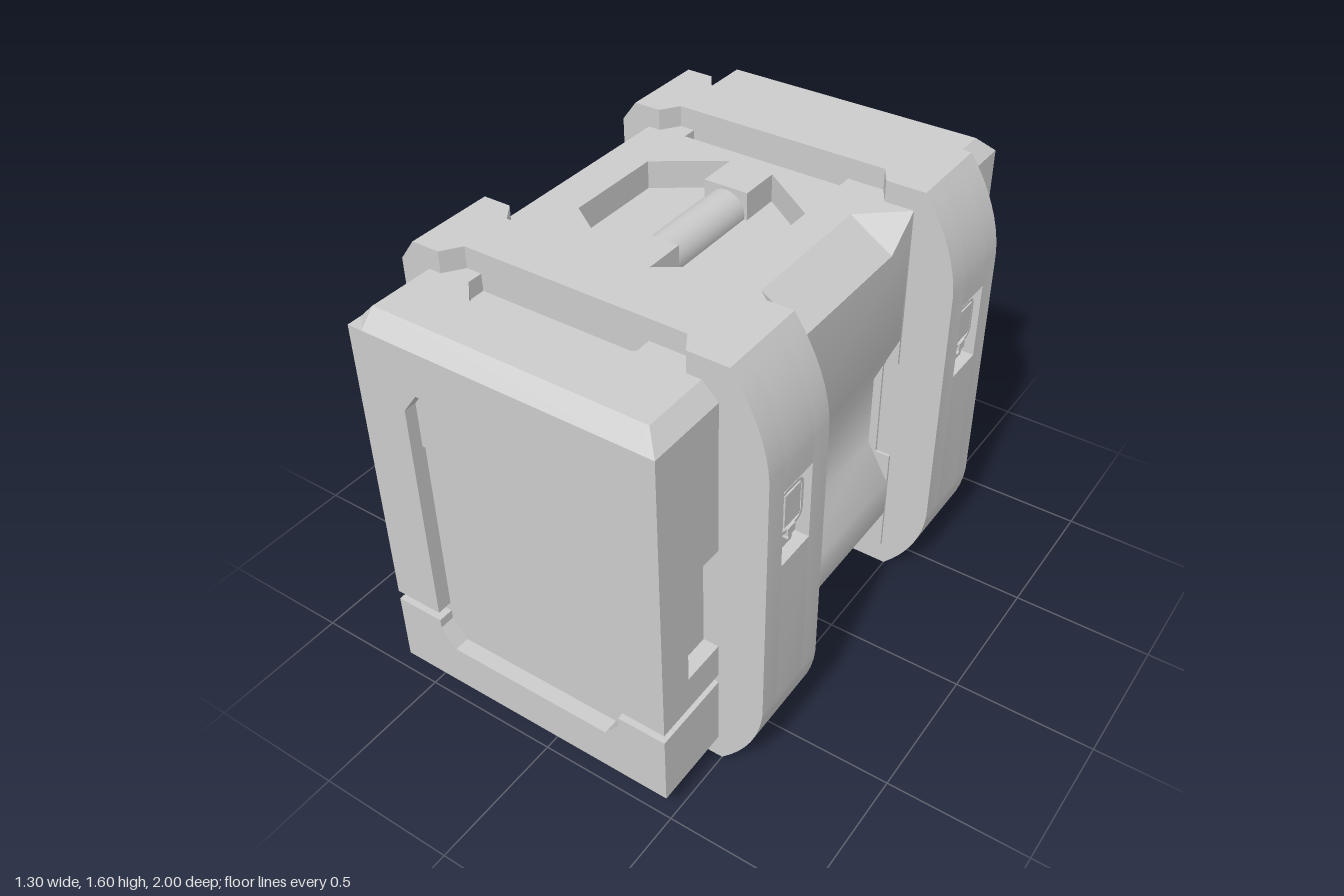
import * as THREE from 'three';
import { toCreasedNormals } from 'three/addons/utils/BufferGeometryUtils.js';
import { ConvexGeometry } from 'three/addons/geometries/ConvexGeometry.js';

const material = new THREE.MeshStandardMaterial({ color: 0xcccccc });
const V = (x, y, z) => new THREE.Vector3(x, y, z);
const toShape = pts => new THREE.Shape(pts.map(p => new THREE.Vector2(p[0], p[1])));

// Extrude an xy outline from z0 to z1
function alongZ(pts, z0, z1, hole) {
  const shape = toShape(pts);
  if (hole) shape.holes.push(toShape(hole));
  return new THREE.ExtrudeGeometry(shape, { depth: z1 - z0, bevelEnabled: false }).translate(0, 0, z0);
}

// Extrude an xz outline from y0 to y1
function alongY(pts, y0, y1, hole) {
  const flip = p => [p[0], -p[1]];
  return alongZ(pts.map(flip), y0, y1, hole && hole.map(flip)).rotateX(-Math.PI / 2);
}

function box(x0, x1, y0, y1, z0, z1) {
  return new THREE.BoxGeometry(x1 - x0, y1 - y0, z1 - z0)
    .translate((x0 + x1) / 2, (y0 + y1) / 2, (z0 + z1) / 2);
}

// Mirror in z and restore the winding
function mirrorZ(geometry) {
  const g = geometry.index ? geometry.toNonIndexed() : geometry.clone();
  g.scale(1, 1, -1);
  const p = g.attributes.position, a = V(), b = V();
  for (let i = 0; i < p.count; i += 3) {
    a.fromBufferAttribute(p, i + 1);
    b.fromBufferAttribute(p, i + 2);
    p.setXYZ(i + 1, b.x, b.y, b.z);
    p.setXYZ(i + 2, a.x, a.y, a.z);
  }
  return g;
}

function add(parent, name, geometry, crease = 0.4) {
  geometry.deleteAttribute('uv');
  const mesh = new THREE.Mesh(toCreasedNormals(geometry, crease), material);
  mesh.name = name;
  parent.add(mesh);
}

function roundedRect(w, h, r) {
  const pts = [];
  [[1, 1], [-1, 1], [-1, -1], [1, -1]].forEach(([sx, sy], q) => {
    for (let i = 0; i <= 3; i++) {
      const a = (q + i / 3) * Math.PI / 2;
      pts.push([sx * (w / 2 - r) + r * Math.cos(a), sy * (h / 2 - r) + r * Math.sin(a)]);
    }
  });
  return pts;
}

// Band outline as an open-topped ring, optionally notched for the latch
function bandOutline(notched) {
  const curve = (a, c, b) => new THREE.QuadraticBezierCurve(
    new THREE.Vector2(...a), new THREE.Vector2(...c), new THREE.Vector2(...b)
  ).getPoints(8).map(p => [p.x, p.y]);
  return [
    [-0.655, 0.07], [-0.6, 0],
    ...curve([0.5, 0], [0.64, 0.14], [0.65, 0.31]),
    ...(notched ? [[0.65, 0.885], [0.6, 0.885], [0.6, 1.17], [0.65, 1.17]] : []),
    ...curve([0.65, 1.26], [0.64, 1.43], [0.52, 1.595]),
    [0.38, 1.595], [0.38, 1.5], [0.4, 1.5], [0.4, 0.05],
    [-0.56, 0.05], [-0.56, 1.5], [-0.5, 1.5], [-0.5, 1.595], [-0.6, 1.595], [-0.655, 1.52],
  ];
}

// End block outline with seam grooves, optional side pocket and top pocket
function blockOutline(pockets) {
  return [
    [-0.55, 0.02], [0.435, 0.02], [0.485, 0.09], [0.485, 0.355], [0.445, 0.365], [0.445, 0.38], [0.485, 0.39],
    ...(pockets ? [[0.485, 0.52], [0.43, 0.52], [0.43, 0.925], [0.485, 0.925]] : []),
    [0.485, 1.465], [0.43, 1.52],
    ...(pockets ? [[0.21, 1.52], [0.21, 1.46], [-0.4, 1.46], [-0.4, 1.52]] : []),
    [-0.545, 1.52], [-0.6, 1.465], [-0.6, 0.39], [-0.56, 0.38], [-0.56, 0.365], [-0.6, 0.355], [-0.6, 0.09],
  ];
}

// Face frame whose top and bottom edges slope back
function frame(pts) {
  const g = alongZ(pts, 0.945, 1);
  const p = g.attributes.position;
  for (let i = 0; i < p.count; i++) {
    if (p.getZ(i) > 0.99) p.setY(i, THREE.MathUtils.clamp(p.getY(i), 0.09, 1.465));
  }
  return g;
}

function endParts() {
  const parts = [];
  const part = (name, g) => parts.push([name, g]);

  // End block with recessed face
  part('endBlock', alongZ(blockOutline(true), 0.38, 0.87));
  part('endBlockOuter', alongZ(blockOutline(false), 0.87, 0.945));
  part('topPocketRim', alongY([[-0.4, 0.87], [-0.4, 0.7], [-0.335, 0.77], [0.145, 0.77], [0.21, 0.7], [0.21, 0.87]], 1.44, 1.52));
  part('upperFrame', frame([
    [-0.6, 0.39], [-0.42, 0.39], [-0.42, 1.23], [-0.365, 1.305], [0.25, 1.305], [0.31, 1.23],
    [0.31, 0.39], [0.485, 0.39], [0.485, 1.465], [0.43, 1.52], [-0.545, 1.52], [-0.6, 1.465]]));
  part('lowerFrame', frame([
    [-0.6, 0.355], [-0.6, 0.09], [-0.55, 0.02], [0.435, 0.02], [0.485, 0.09], [0.485, 0.355],
    [0.31, 0.355], [0.31, 0.32], [0.255, 0.25], [-0.365, 0.25], [-0.42, 0.32], [-0.42, 0.355]]));
  part('upperPanel', box(-0.42, 0.31, 1.065, 1.31, 0.93, 0.955));

  // Band around the body
  part('bandInner', alongZ(bandOutline(false), 0.39, 0.475));
  part('bandMiddle', alongZ(bandOutline(true), 0.475, 0.63));
  part('bandOuter', alongZ(bandOutline(false), 0.63, 0.71));
  part('bandTop', alongY([
    [-0.5, 0.39], [-0.455, 0.455], [0.34, 0.455], [0.38, 0.39],
    [0.38, 0.71], [0.34, 0.645], [-0.455, 0.645], [-0.5, 0.71]], 1.4, 1.595));

  // Latch set into the band
  const z = 0.553;
  part('latchPlate', box(0.59, 0.61, 0.885, 1.17, z - 0.042, z + 0.042));
  part('latchLever', box(0.6, 0.635, 1.0, 1.12, z - 0.042, z + 0.042));
  part('latchHinge', box(0.6, 0.622, 1.12, 1.17, z - 0.035, z + 0.035));
  part('latchLoop', alongZ(roundedRect(0.136, 0.165, 0.035), 0, 0.018, roundedRect(0.112, 0.141, 0.025))
    .rotateY(Math.PI / 2).translate(0.612, 1.05, z));
  part('latchHook', box(0.6, 0.635, 0.95, 0.98, z - 0.02, z + 0.02));
  part('latchPin', new THREE.CylinderGeometry(0.011, 0.011, 0.03, 12)
    .rotateZ(Math.PI / 2).translate(0.615, 0.932, z));
  return parts;
}

export function createModel() {
  const model = new THREE.Group();
  model.name = 'crate';

  // Both ends
  const front = new THREE.Group(), back = new THREE.Group();
  front.name = 'frontEnd';
  back.name = 'backEnd';
  for (const [name, g] of endParts()) {
    add(back, name, mirrorZ(g));
    add(front, name, g);
  }

  // Middle body with a waisted side and a seam groove
  const middle = new THREE.Group();
  middle.name = 'middleBody';
  add(middle, 'middleShell', alongZ([
    [-0.53, 0.09], [0.38, 0.09], [0.485, 0.25], [0.485, 0.4], [0.4, 0.55], [0.4, 0.83],
    [0.485, 1.03], [0.485, 1.42], [-0.54, 1.42], [-0.545, 1.52], [-0.6, 1.465],
    [-0.6, 0.39], [-0.56, 0.38], [-0.56, 0.365], [-0.6, 0.355], [-0.6, 0.16]], -0.4, 0.4), 1.05);

  // Top plate with handle well
  add(middle, 'topPlate', alongY(
    [[-0.545, -0.4], [0.33, -0.4], [0.33, 0.4], [-0.545, 0.4]], 1.42, 1.52,
    [[-0.4, 0.185], [-0.175, 0.34], [-0.175, 0.19], [-0.01, 0.19], [-0.01, 0.34], [0.21, 0.185],
      [0.21, -0.185], [-0.01, -0.34], [-0.01, -0.19], [-0.175, -0.19], [-0.175, -0.34], [-0.4, -0.185]]));
  add(middle, 'handleBar', new THREE.CylinderGeometry(0.073, 0.073, 0.4, 24)
    .rotateX(Math.PI / 2).translate(-0.0925, 1.435, 0), 0.6);

  // Sloped scoop in the top edge
  add(middle, 'scoop', new ConvexGeometry([-0.26, 0.26].flatMap(z =>
    [V(0.33, 1.42, z), V(0.485, 1.42, z), V(0.33, 1.52, z)])));
  for (const s of [-1, 1]) {
    add(middle, 'scoopCorner', new ConvexGeometry([
      V(0.33, 1.42, s * 0.26), V(0.485, 1.42, s * 0.26), V(0.33, 1.52, s * 0.26),
      V(0.33, 1.42, s * 0.39), V(0.485, 1.42, s * 0.39), V(0.33, 1.52, s * 0.39), V(0.485, 1.52, s * 0.39)]));
  }

  model.add(front, back, middle);
  return model;
}
